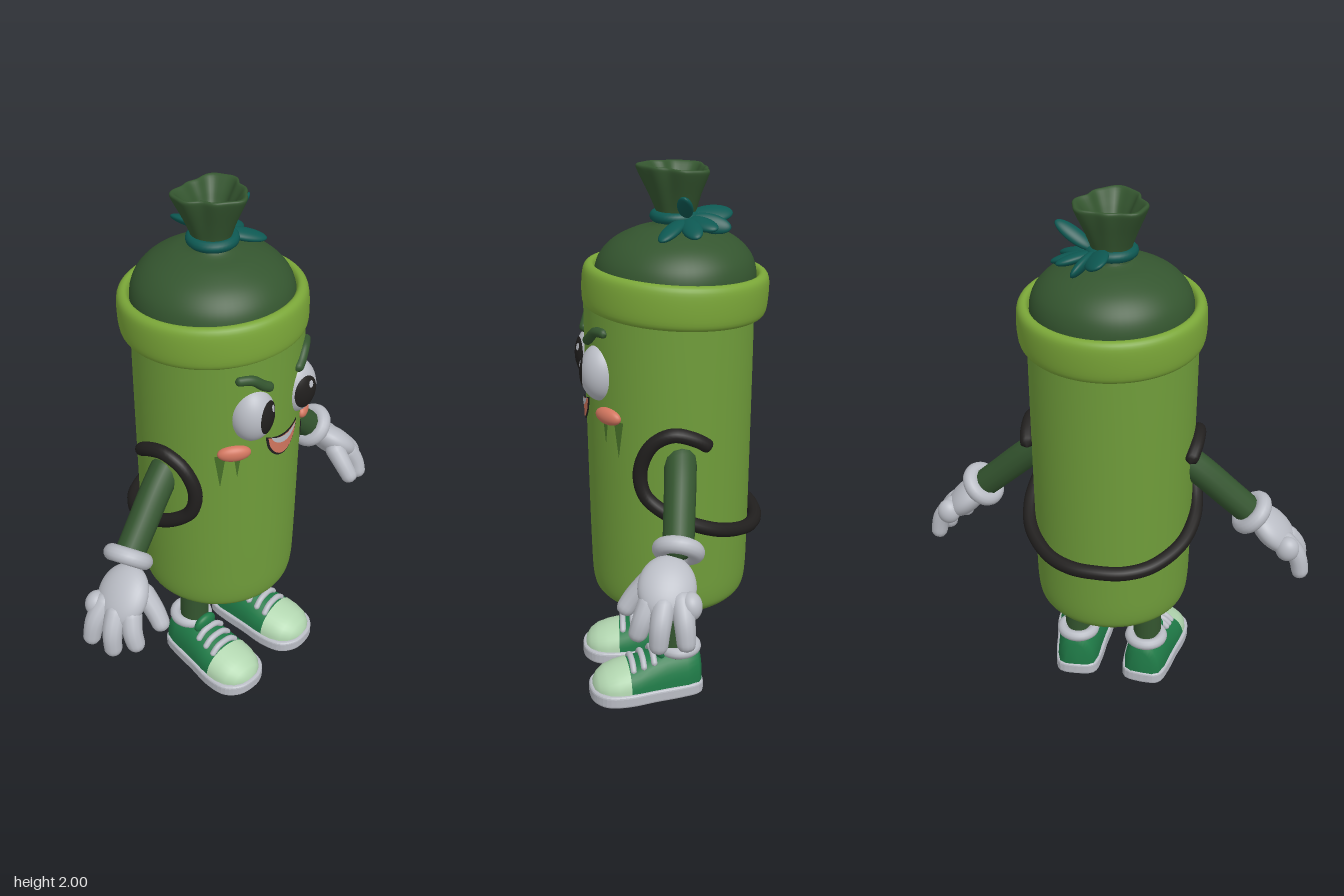
import * as THREE from 'three';
import { mergeVertices } from 'three/addons/utils/BufferGeometryUtils.js';

const V = (x, y, z) => new THREE.Vector3(x, y, z);
const paint = (name, color) => Object.assign(new THREE.MeshStandardMaterial({ color }), { name });

export function createModel() {
  const root = new THREE.Group();
  root.name = 'bottleCharacter';
  const lime = paint('lime', 0x6f9c3a), rimGreen = paint('rimGreen', 0x7aa638);
  const forest = paint('forest', 0x34552f), teal = paint('teal', 0x0d5852);
  const white = paint('paleGrey', 0xb9bcc4), black = paint('black', 0x211f1e);
  const coral = paint('coral', 0xd2765f), shoeGreen = paint('shoeGreen', 0x1f7a47);
  const mint = paint('mint', 0xb2d6b0), grime = paint('grime', 0x466f28);

  const add = (name, geo, mat, parent = root) => {
    const m = new THREE.Mesh(geo, mat);
    m.name = name;
    parent.add(m);
    return m;
  };
  const smooth = (geo) => {
    geo.deleteAttribute('uv');
    geo.deleteAttribute('normal');
    const g = mergeVertices(geo, 1e-5);
    g.computeVertexNormals();
    return g;
  };
  const lathe = (pts, n = 30) => smooth(new THREE.LatheGeometry(
    new THREE.SplineCurve(pts.map(p => new THREE.Vector2(...p))).getPoints(n)
      .map(p => p.set(Math.max(0, p.x), p.y)), 64));
  // Tube with rounded ends
  const limb = (pts, r0, r1 = r0, seg = 30, sides = 12) => {
    const curve = new THREE.CatmullRomCurve3(pts), len = curve.getLength();
    const g = new THREE.TubeGeometry(curve, seg, 1, sides), pos = g.attributes.position, v = V();
    for (let i = 0; i <= seg; i++) {
      const t = i / seg, r = r0 + (r1 - r0) * t, c = curve.getPointAt(t);
      const k = Math.min(1, Math.min(t, 1 - t) * len / r);
      const rr = Math.max(1e-4, r * Math.sqrt(1 - (1 - k) ** 2));
      for (let j = 0; j <= sides; j++) {
        const n = i * (sides + 1) + j;
        v.fromBufferAttribute(pos, n).sub(c).multiplyScalar(rr).add(c);
        pos.setXYZ(n, v.x, v.y, v.z);
      }
    }
    return smooth(g);
  };
  const ball = (name, mat, p, s, parent = root) => {
    const m = add(name, new THREE.SphereGeometry(1, 32, 20), mat, parent);
    m.position.set(...p);
    m.scale.set(...s);
    return m;
  };
  const CZ = 0.01;
  const bodyZ = (x, r = 0.305) => CZ + Math.sqrt(Math.max(0, r * r - x * x));
  // Thin patch wrapped on the body front, between two curves
  const patch = (name, mat, x0, x1, low, high, lift) => {
    const g = new THREE.PlaneGeometry(1, 1, 20, 6), p = g.attributes.position;
    for (let i = 0; i < p.count; i++) {
      const u = p.getX(i) + 0.5, v = p.getY(i) + 0.5, x = x0 + (x1 - x0) * u;
      p.setXYZ(i, x, low(u) + (high(u) - low(u)) * v, bodyZ(x) + lift);
    }
    g.computeVertexNormals();
    return add(name, g, mat);
  };

  // Body and collar rim
  add('body', lathe([[0, 0.385], [0.12, 0.385], [0.23, 0.386], [0.27, 0.4], [0.29, 0.45], [0.296, 0.6],
    [0.3, 0.9], [0.304, 1.3], [0.305, 1.56]], 50), lime).position.z = CZ;
  const rim = add('rim', lathe([[0.29, -0.07], [0.31, -0.08], [0.328, -0.06], [0.333, 0], [0.329, 0.055],
    [0.312, 0.075], [0.292, 0.068], [0.28, 0.02]]), rimGreen);
  rim.position.set(0, 1.568, -0.013);
  rim.rotation.x = -0.06;

  // Cloth dome and gathered top
  add('dome', lathe([[0.288, 1.58], [0.285, 1.64], [0.265, 1.69], [0.22, 1.735], [0.15, 1.77], [0.08, 1.79],
    [0.05, 1.82]]), forest).position.z = -0.013;
  const top = lathe([[0.08, 1.775], [0.068, 1.82], [0.085, 1.88], [0.115, 1.96], [0.122, 1.988], [0.108, 1.99],
    [0.08, 1.95], [0.05, 1.9], [0, 1.88]], 36);
  const tp = top.attributes.position;
  for (let i = 0; i < tp.count; i++) {
    const x = tp.getX(i), y = tp.getY(i), z = tp.getZ(i), a = Math.atan2(z, x);
    const h = Math.max(0, (y - 1.8) / 0.19);
    const k = 1 + h * (0.13 * Math.cos(3 * (a + 0.5)) + 0.04 * Math.cos(8 * a));
    tp.setXYZ(i, x * k, y + h * 0.06 * z, z * k);
  }
  top.computeVertexNormals();
  add('gatheredTop', top, forest).position.z = -0.018;

  // Ribbon with leafy loops
  const band = add('ribbonBand', new THREE.TorusGeometry(0.072, 0.02, 12, 40), teal);
  band.rotation.x = Math.PI / 2;
  band.position.set(0, 1.82, -0.015);
  const knot = V(0.05, 1.82, -0.04);
  for (const [x, y, z, w] of [[0.01, 1.83, -0.21, 0.045], [0.1, 1.79, -0.19, 0.035], [0.165, 1.8, -0.13, 0.035],
    [0.2, 1.78, -0.06, 0.035], [0.19, 1.77, 0.06, 0.035], [0.19, 1.91, -0.02, 0.03]]) {
    const tip = V(x, y, z), d = tip.clone().sub(knot), len = d.length(), mid = knot.clone().lerp(tip, 0.55);
    ball('ribbonLoop', teal, mid.toArray(), [w, 0.018, len * 0.47])
      .quaternion.setFromUnitVectors(V(0, 0, 1), d.normalize());
  }

  // Mouth
  const lip = u => 1.168 + 0.02 * (2 * u - 1) ** 2;
  const bowl = (depth) => u => lip(u) - depth * Math.sqrt(Math.max(0, 1 - (2 * u - 1) ** 2));
  patch('mouthEdge', black, -0.085, 0.082, bowl(0.082), u => lip(u) + 0.006, 0.003);
  patch('tongue', coral, -0.077, 0.074, bowl(0.074), lip, 0.006);
  patch('teeth', white, -0.066, 0.066, bowl(0.026), lip, 0.009);

  // Strap: loops round each shoulder and crosses the back
  const side = [[-0.1, 1.06], [-0.04, 1.1], [0.04, 1.12], [0.11, 1.08], [0.15, 0.98], [0.135, 0.89], [0.07, 0.83],
    [-0.03, 0.78], [-0.14, 0.735], [-0.25, 0.7]];
  const strapSide = s => side.map(([z, y]) => V(s * Math.sqrt(0.317 ** 2 - z * z), y, z));
  add('strap', limb([...strapSide(1), V(0.1, 0.69, -0.3), V(0, 0.69, -0.313), V(-0.1, 0.69, -0.3),
    ...strapSide(-1).reverse()], 0.026, 0.026, 160), black);

  // Lengthwise loft of arched sections: [z, half width, height]
  const arch = (rows) => {
    const n = 16, pos = [], idx = [];
    rows.forEach(([z, w, h], i) => {
      for (let j = 0; j <= n; j++) {
        const a = Math.PI * j / n;
        pos.push(w * Math.cos(a), 0.04 + h * Math.sin(a) ** 0.8, z);
        if (i && j) {
          const q = i * (n + 1) + j, p = q - n - 1;
          idx.push(p - 1, q - 1, p, p, q - 1, q);
        }
      }
    });
    const g = new THREE.BufferGeometry();
    g.setAttribute('position', new THREE.Float32BufferAttribute(pos, 3));
    g.setIndex(idx.reverse());
    g.computeVertexNormals();
    return g;
  };
  for (const m of [shoeGreen, mint]) m.side = THREE.DoubleSide;
  const outline = [[0, -0.088], [0.065, -0.075], [0.085, 0], [0.095, 0.1], [0.108, 0.2], [0.098, 0.28], [0.055, 0.322]];
  const soleShape = new THREE.Shape(new THREE.SplineCurve([...outline, [0, 0.332],
    ...outline.slice(1).reverse().map(([x, z]) => [-x, z]), outline[0]].map(p => new THREE.Vector2(...p))).getPoints(60));

  for (const s of [1, -1]) {
    const P = (x, y, z) => V(s * x, y, z);
    const tag = s > 0 ? 'left' : 'right';

    // Eye, pupil, glint, brow, cheek
    const eye = new THREE.Group();
    eye.name = tag + 'Eye';
    eye.position.set(s * 0.115, 1.297, 0.265);
    eye.scale.set(0.081, 0.105, 0.077);
    root.add(eye);
    add('eyeball', new THREE.SphereGeometry(1, 36, 24), white, eye);
    const cap = (name, mat, half, r, rx, ry) => {
      const g = new THREE.SphereGeometry(r, 32, 8, 0, Math.PI * 2, 0, half).rotateX(Math.PI / 2);
      add(name, g.rotateX(rx).rotateY(ry), mat, eye);
    };
    cap('pupil', black, 0.64, 1.02, -0.03, -s * 0.2);
    cap('glint', white, 0.13, 1.04, -0.32, -s * 0.2 + 0.2);
    const brow = [[0.065, 1.397], [0.1, 1.418], [0.14, 1.45], [0.19, 1.455]];
    add(tag + 'Brow', limb(brow.map(([x, y]) => P(x, y, bodyZ(x) + 0.004)), 0.019, 0.017), forest);
    ball(tag + 'Cheek', coral, [s * 0.187, 1.156, 0.25], [0.06, 0.031, 0.026]).rotation.y = s * 0.65;
    for (const [x, w, d] of [[0.18, 0.02, 0.09], [0.225, 0.026, 0.13]])
      patch(tag + 'GrimeStreak', grime, s * x - w / 2, s * x + w / 2,
        u => 1.14 - d * (1 - Math.abs(2 * u - 1)), () => 1.145, 0.003);

    // Arm, cuff and glove
    add(tag + 'Arm', limb([P(0.23, 1.05, 0.0), P(0.33, 0.97, 0.015), P(0.44, 0.865, 0.035), P(0.55, 0.76, 0.055)],
      0.058, 0.054), forest);
    const reach = P(0.68, -0.68, 0.22).normalize();
    const cuff = add(tag + 'Cuff', new THREE.TorusGeometry(0.06, 0.031, 14, 32), white);
    cuff.position.copy(P(0.525, 0.785, 0.05));
    cuff.quaternion.setFromUnitVectors(V(0, 0, 1), reach);
    const across = V(0, 0, 1).addScaledVector(reach, -reach.z).normalize();
    const palm = ball(tag + 'Palm', white, [s * 0.607, 0.69, 0.1], [0.115, 0.1, 0.056]);
    palm.quaternion.setFromRotationMatrix(
      new THREE.Matrix4().makeBasis(reach, across, reach.clone().cross(across)));
    const fingers = [
      [[0.56, 0.72, 0.13], [0.555, 0.64, 0.205], [0.56, 0.575, 0.252]],
      [[0.62, 0.68, 0.15], [0.655, 0.6, 0.19], [0.655, 0.525, 0.215]],
      [[0.64, 0.68, 0.11], [0.7, 0.6, 0.135], [0.71, 0.5, 0.145]],
      [[0.63, 0.69, 0.06], [0.705, 0.61, 0.055], [0.73, 0.51, 0.05]]];
    for (const f of fingers) add(tag + 'Finger', limb(f.map(p => P(...p)), 0.042, 0.031, 20), white);
    ball(tag + 'Knuckle', white, [s * 0.67, 0.65, 0.03], [0.045, 0.05, 0.04]);

    // Leg
    const leg = add(tag + 'Leg', new THREE.CylinderGeometry(0.056, 0.056, 0.28, 24), forest);
    leg.position.set(s * 0.14, 0.27, 0.01);

    // Sneaker
    const shoe = new THREE.Group();
    shoe.name = tag + 'Shoe';
    shoe.position.set(s * 0.14, 0, 0);
    shoe.rotation.y = s * 0.08;
    root.add(shoe);
    add('sole', new THREE.ExtrudeGeometry(soleShape, { depth: 0.03, bevelThickness: 0.01, bevelSize: 0.01,
      bevelSegments: 3 }).rotateX(Math.PI / 2).translate(0, 0.042, 0), white, shoe);
    add('upper', arch([[-0.092, 0, 0], [-0.09, 0.045, 0.11], [-0.075, 0.07, 0.135], [-0.03, 0.083, 0.14],
      [0.05, 0.09, 0.14], [0.11, 0.097, 0.125], [0.16, 0.104, 0.108], [0.21, 0.107, 0.094]]), shoeGreen, shoe);
    add('toeCap', arch([[0.195, 0.109, 0.102], [0.24, 0.107, 0.09], [0.28, 0.095, 0.076], [0.31, 0.07, 0.056],
      [0.326, 0.04, 0.032], [0.332, 0, 0]]), mint, shoe);
    const collar = add('ankleCollar', new THREE.TorusGeometry(0.063, 0.022, 12, 32), white, shoe);
    collar.rotation.x = Math.PI / 2;
    collar.position.set(0, 0.182, -0.01);
    ball('tongue', shoeGreen, [0, 0.18, 0.07], [0.052, 0.045, 0.024], shoe).rotation.x = 0.2;
    for (const [z, y] of [[0.1, 0.178], [0.14, 0.164], [0.18, 0.152]])
      add('lace', limb([V(-0.068, y - 0.035, z), V(-0.035, y - 0.006, z), V(0, y, z), V(0.035, y - 0.006, z),
        V(0.068, y - 0.035, z)], 0.012), white, shoe);
  }
  return root;
}
